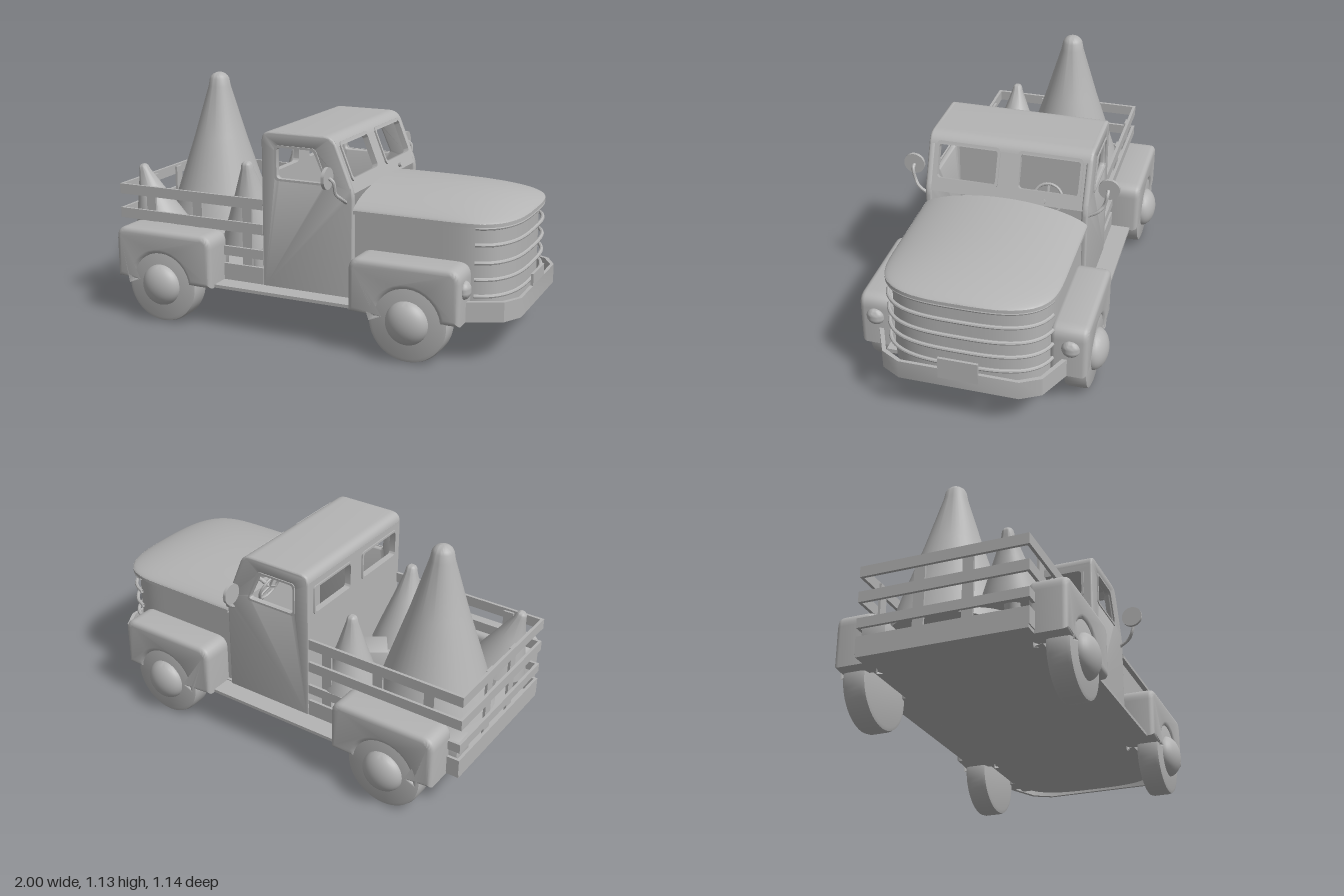
import * as THREE from 'three';
import { toCreasedNormals } from 'three/addons/utils/BufferGeometryUtils.js';
import { RoundedBoxGeometry } from 'three/addons/geometries/RoundedBoxGeometry.js';

const V = (x, y, z) => new THREE.Vector3(x, y, z);

// Polygon with rounded corners
function roundPoly(pts, r, Type = THREE.Shape) {
  const p = pts.map(([x, y]) => new THREE.Vector2(x, y));
  const path = new Type();
  p.forEach((c, i) => {
    const a = p[(i + p.length - 1) % p.length], b = p[(i + 1) % p.length];
    const rad = Array.isArray(r) ? r[i] : r;
    const s = c.clone().add(a.clone().sub(c).setLength(rad));
    const e = c.clone().add(b.clone().sub(c).setLength(rad));
    if (i === 0) path.moveTo(s.x, s.y); else path.lineTo(s.x, s.y);
    if (rad > 0) path.quadraticCurveTo(c.x, c.y, e.x, e.y);
  });
  path.closePath();
  return path;
}
const rect = (x0, y0, x1, y1) => [[x0, y0], [x1, y0], [x1, y1], [x0, y1]];

function extrude(shape, depth, bevel = 0) {
  const geo = new THREE.ExtrudeGeometry(shape, {
    depth: depth - 2 * bevel, curveSegments: 8, bevelEnabled: bevel > 0,
    bevelThickness: bevel, bevelSize: bevel, bevelOffset: -bevel, bevelSegments: 4,
  });
  return geo.translate(0, 0, bevel);
}

// Half width of the nose in plan, and its outline seen from above
const halfWidth = (x) => 0.39 * Math.cbrt(Math.max(0, 1 - Math.max(0, (x - 0.62) / 0.355) ** 4));
function noseOutline(inset, from = 0.25) {
  const side = [];
  for (let i = 0; i <= 28; i++) {
    const x = from + (0.975 - from) * Math.sin(i / 28 * Math.PI / 2);
    const k = (x - 0.25) / 0.725;
    side.push([x - inset * k, halfWidth(x) * (1 - inset / 0.39)]);
  }
  return [...side.map(([x, z]) => [x, -z]), ...side.slice(0, -1).reverse()];
}

export function createModel() {
  const truck = new THREE.Group();
  truck.name = 'pickupTruck';
  const grey = new THREE.MeshStandardMaterial({ color: 0xb4b4b4, side: THREE.DoubleSide });
  grey.name = 'plainGrey';

  const add = (name, geo, x = 0, y = 0, z = 0, parent = truck) => {
    const mesh = new THREE.Mesh(toCreasedNormals(geo, 0.6), grey);
    mesh.name = name;
    mesh.position.set(x, y, z);
    parent.add(mesh);
    return mesh;
  };
  const box = (name, x0, x1, y0, y1, z0, z1) =>
    add(name, new THREE.BoxGeometry(x1 - x0, y1 - y0, z1 - z0), (x0 + x1) / 2, (y0 + y1) / 2, (z0 + z1) / 2);
  const tube = (name, pts, r, n = 24) =>
    add(name, new THREE.TubeGeometry(new THREE.CatmullRomCurve3(pts), n, r, 8));
  // Raised frame following a window
  const frame = (pts, grow, r) => {
    const cx = pts.reduce((s, p) => s + p[0], 0) / 4, cy = pts.reduce((s, p) => s + p[1], 0) / 4;
    const outer = pts.map(([x, y]) => [x + Math.sign(x - cx) * grow, y + Math.sign(y - cy) * grow]);
    const ring = roundPoly(outer, r);
    ring.holes.push(roundPoly(pts, r, THREE.Path));
    return ring;
  };

  // Floor and running boards
  box('floor', -1, 0.85, 0.2, 0.22, -0.38, 0.38);
  for (const s of [-1, 1]) box('runningBoard', -0.45, 0.32, 0.2, 0.215, Math.min(s * 0.37, s * 0.48), Math.max(s * 0.37, s * 0.48));

  // Engine body, hood lip and domed hood
  const plan = (inset) => new THREE.Shape(noseOutline(inset).map(([x, z]) => new THREE.Vector2(x, z)));
  add('engineBody', extrude(plan(0.025), 0.42).rotateX(-Math.PI / 2), 0, 0.2, 0);
  add('hoodLip', extrude(plan(0), 0.016).rotateX(-Math.PI / 2), 0, 0.61, 0);
  const hood = new THREE.PlaneGeometry(1, 1, 32, 32).rotateX(-Math.PI / 2);
  const pos = hood.attributes.position;
  for (let i = 0; i < pos.count; i++) {
    const s = Math.sin((pos.getX(i) + 0.5) * Math.PI / 2);
    const a = Math.sin(pos.getZ(i) * Math.PI);
    const x = 0.25 + 0.725 * s;
    const rise = Math.max(0, 1 - s ** 4) ** 0.8 * Math.max(0, 1 - a * a) ** 0.7;
    pos.setXYZ(i, x, 0.625 + 0.088 * rise, a * halfWidth(x));
  }
  add('hood', hood);

  // Grille bars wrapping the nose
  for (const y of [0.3, 0.375, 0.45, 0.53, 0.605])
    tube('grilleBar', noseOutline(0.008, 0.82).map(([x, z]) => V(x, y, z)), 0.009, 64);

  // Bumper and plate
  const outer = [[0.8, -0.43], [0.95, -0.36], [1, -0.27], [1, 0.27], [0.95, 0.36], [0.8, 0.43]];
  const inner = outer.map(([x, z]) => [x - 0.015, z * 0.965]).reverse();
  add('bumper', extrude(roundPoly([...outer, ...inner], 0), 0.09).rotateX(-Math.PI / 2), 0, 0.2, 0);
  box('numberPlate', 0.988, 1, 0.24, 0.345, -0.09, 0.09);

  // Cab sides
  const sideWindow = [[-0.13, 0.735], [0.12, 0.735], [0.055, 0.88], [-0.13, 0.88]];
  const side = roundPoly([[-0.21, 0.2], [0.25, 0.2], [0.25, 0.7], [0.15, 0.95], [-0.21, 0.95]], [0, 0, 0.03, 0.05, 0.05]);
  side.holes.push(roundPoly(sideWindow, 0.02, THREE.Path));
  for (const s of [-1, 1]) {
    add('cabSide', extrude(side, 0.03, 0.01), 0, 0, s > 0 ? 0.358 : -0.388);
    add('sideWindowFrame', extrude(frame(sideWindow, 0.01, 0.02), 0.008), 0, 0, s > 0 ? 0.385 : -0.393);
  }

  // Roof shell
  const roof = new THREE.Shape();
  roof.moveTo(-0.21, 0.88).lineTo(-0.185, 0.88).lineTo(-0.18, 0.925).lineTo(0.12, 0.925).lineTo(0.145, 0.9);
  roof.lineTo(0.168, 0.905).quadraticCurveTo(0.15, 0.95, 0.1, 0.95).lineTo(-0.16, 0.95).quadraticCurveTo(-0.21, 0.95, -0.21, 0.9);
  add('roof', extrude(roof, 0.75), 0, 0, -0.375);

  // Rear wall and windshield, each with two openings
  const wall = (y0, y1, w0, w1) => {
    const shape = roundPoly(rect(-0.375, y0, 0.375, y1), 0);
    const panes = [-1, 1].map((s) => rect(Math.min(s * 0.055, s * 0.335), w0, Math.max(s * 0.055, s * 0.335), w1));
    panes.forEach((p) => shape.holes.push(roundPoly(p, 0.02, THREE.Path)));
    return { shape, panes };
  };
  const rear = wall(0.2, 0.91, 0.745, 0.87);
  add('cabRearWall', extrude(rear.shape, 0.025).rotateY(Math.PI / 2), -0.21, 0, 0);
  rear.panes.forEach((p) => add('rearWindowFrame', extrude(frame(p, 0.01, 0.02), 0.008).rotateY(Math.PI / 2), -0.216, 0, 0));
  const screen = new THREE.Group();
  screen.name = 'windshield';
  screen.position.set(0.228, 0.69, 0);
  screen.rotation.z = 0.381;
  truck.add(screen);
  const front = wall(0, 0.235, 0.065, 0.235 - 0.008);
  front.shape = roundPoly(rect(-0.375, 0, 0.375, 0.245), 0);
  front.panes.forEach((p) => front.shape.holes.push(roundPoly(p, 0.02, THREE.Path)));
  add('windshieldPanel', extrude(front.shape, 0.02).rotateY(Math.PI / 2), 0, 0, 0, screen);
  front.panes.forEach((p) => add('windshieldFrame', extrude(frame(p, 0.012, 0.02), 0.01).rotateY(Math.PI / 2), 0.018, 0, 0, screen));

  // Steering wheel
  const steering = new THREE.Group();
  steering.name = 'steeringWheel';
  steering.position.set(0.16, 0.685, -0.18);
  steering.rotation.set(0, Math.PI / 2, 0.4, 'ZYX');
  truck.add(steering);
  add('steeringRim', new THREE.TorusGeometry(0.07, 0.007, 8, 32), 0, 0, 0, steering);
  for (let i = 0; i < 3; i++)
    add('steeringSpoke', new THREE.BoxGeometry(0.01, 0.07, 0.008).translate(0, 0.035, 0), 0, 0, 0, steering).rotation.z = i * Math.PI * 2 / 3;
  add('steeringColumn', new THREE.CylinderGeometry(0.01, 0.01, 0.1, 12).rotateX(Math.PI / 2), 0, 0, 0.05, steering);

  // Fenders with wheel arches, tyres and hubcaps
  const tyre = [[0, -0.055], [0.165, -0.055], [0.18, -0.05], [0.185, -0.035], [0.185, 0.035], [0.18, 0.05], [0.165, 0.055], [0, 0.055]];
  for (const x of [-0.695, 0.56]) for (const s of [-1, 1]) {
    const mid = x < 0 ? -0.68 : 0.54;
    const f = new THREE.Shape();
    f.moveTo(mid - 0.26, 0.2).lineTo(x - 0.149, 0.2).absarc(x, 0.185, 0.15, Math.PI - 0.1, 0.1, true);
    f.lineTo(mid + 0.26, 0.2).lineTo(mid + 0.26, 0.39).quadraticCurveTo(mid + 0.26, 0.45, mid + 0.2, 0.45);
    f.lineTo(mid - 0.2, 0.45).quadraticCurveTo(mid - 0.26, 0.45, mid - 0.26, 0.39).closePath();
    add('fender', extrude(f, 0.17, 0.025), 0, 0, s > 0 ? 0.35 : -0.52);
    add('tyre', new THREE.LatheGeometry(tyre.map(([r, y]) => new THREE.Vector2(r, y)), 48).rotateX(Math.PI / 2), x, 0.185, s * 0.455);
    add('hubcap', new THREE.SphereGeometry(0.1, 32, 20).scale(1, 1, 0.65), x, 0.185, s * 0.505);
  }

  // Headlights and mirrors
  for (const s of [-1, 1]) {
    add('headlight', new THREE.SphereGeometry(0.042, 24, 16).scale(0.75, 1, 1), 0.795, 0.35, s * 0.445);
    add('mirror', new THREE.CylinderGeometry(0.05, 0.05, 0.015, 32).rotateZ(Math.PI / 2), 0.16, 0.78, s * 0.467);
    tube('mirrorArm', [V(0.17, 0.78, s * 0.465), V(0.19, 0.765, s * 0.465), V(0.195, 0.71, s * 0.452), V(0.21, 0.685, s * 0.43), V(0.215, 0.655, s * 0.38)], 0.008);
  }

  // Stake bed: slats and posts on both sides and the tail
  for (const [y0, y1] of [[0.575, 0.625], [0.455, 0.505], [0.335, 0.38], [0.215, 0.295]]) {
    for (const s of [-1, 1]) add('sideSlat', new THREE.BoxGeometry(0.79, y1 - y0, 0.014), -0.605, (y0 + y1) / 2, s * 0.378);
    box('tailSlat', -1, -0.986, y0, y1, -0.385, 0.385);
  }
  for (const s of [-1, 1]) {
    for (const x of [-0.83, -0.57, -0.3]) add('sidePost', new THREE.BoxGeometry(0.05, 0.4, 0.012), x, 0.415, s * 0.366);
    add('tailPost', new THREE.BoxGeometry(0.012, 0.4, 0.05), -0.98, 0.415, s * 0.11);
  }

  // Cargo: rounded cone trees on trunks, tilt about z
  const tree = (x, z, r, base, top, tilt = 0, lean = 0) => {
    const g = new THREE.Group();
    g.name = 'tree';
    g.position.set(x, base, z);
    g.rotation.set(lean, 0, tilt);
    truck.add(g);
    const h = top - base, tip = r * 0.17;
    const pts = [[0, 0], [r, 0], [r * 0.83, h * 0.2], [r * 0.48, h * 0.58], [tip * 1.2, h - tip * 1.5]];
    for (let i = 1; i <= 5; i++) pts.push([tip * 1.1 * Math.cos(i * Math.PI / 10), h - tip + tip * Math.sin(i * Math.PI / 10)]);
    add('treeCone', new THREE.LatheGeometry(pts.map(([a, b]) => new THREE.Vector2(Math.max(a, 0), b)), 40), 0, 0, 0, g);
    add('treeTrunk', new THREE.CylinderGeometry(r * 0.25, r * 0.25, base - 0.21, 16), 0, (0.21 - base) / 2, 0, g);
  };
  tree(-0.705, -0.09, 0.275, 0.36, 1.13);
  tree(-0.36, 0.2, 0.15, 0.38, 0.775, 0, 0.15);
  tree(-0.355, -0.25, 0.135, 0.38, 0.74);
  tree(-0.85, 0.25, 0.135, 0.4, 0.72, 0.3, 0.05);

  // Parcels
  for (const [x, z, w, h, turn] of [[-0.33, -0.03, 0.14, 0.24, 0.6], [-0.6, 0.26, 0.18, 0.17, 0.2], [-0.925, -0.315, 0.11, 0.14, 0]])
    add('parcel', new RoundedBoxGeometry(w, h, w, 1, 0.004), x, 0.22 + h / 2, z).rotation.y = turn;

  return truck;
}
